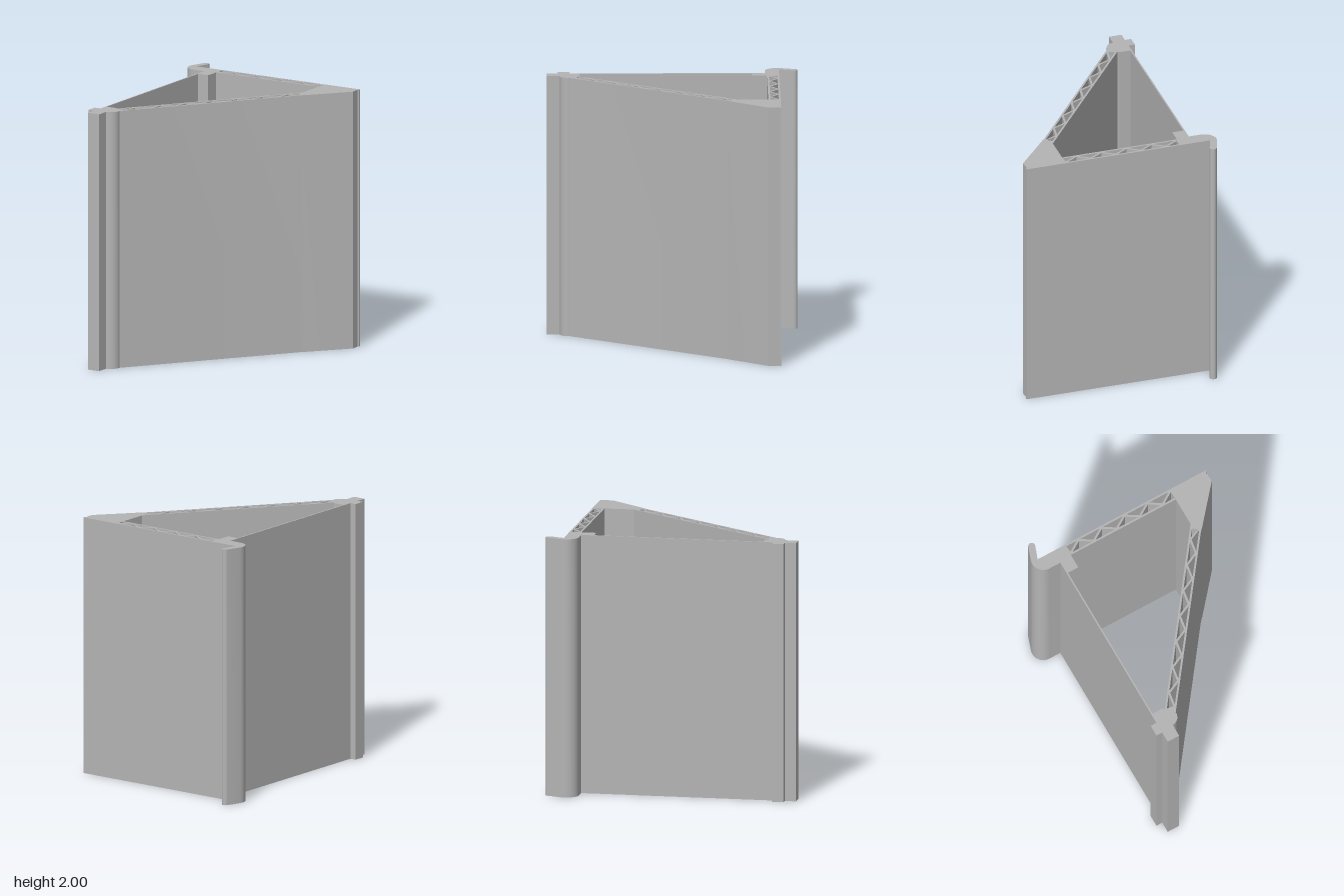
import * as THREE from 'three';
import { toCreasedNormals } from 'three/addons/utils/BufferGeometryUtils.js';

const HEIGHT = 2;
const STRUT = 0.016;

// Plan points are [x, z]; the shape is drawn with y = -z and later laid flat.
const line = (path, points) => points.forEach(([x, z]) => path.lineTo(x, -z));
const hole = (points) => new THREE.Path(points.map(([x, z]) => new THREE.Vector2(x, -z)));

// Triangular openings of a zigzag truss. dir runs along the band, normal across it.
function trussHoles({ dir, normal, start, step, count, rails, ends }) {
  const rise = Math.abs(rails[1] - rails[0]);
  const slant = Math.hypot(rise, step);
  const alongInset = (STRUT / 2) * slant / rise;
  const apexInset = (STRUT / 2) * slant / step;
  const at = (s, v) => {
    const c = THREE.MathUtils.clamp(s, ends[0], ends[1]);
    return [dir[0] * c + normal[0] * v, dir[1] * c + normal[1] * v];
  };
  const holes = [];
  for (let i = 0; i < count - 2; i++) {
    const base = rails[i % 2];
    const far = rails[(i + 1) % 2];
    const s = start + i * step;
    holes.push(hole([
      at(s + alongInset, base),
      at(s + 2 * step - alongInset, base),
      at(s + step, far + Math.sign(base - far) * apexInset),
    ]));
  }
  return holes;
}

function createProfile() {
  const tilt = 0.307;
  const profile = new THREE.Shape();

  // Rounded hook heel
  profile.absarc(-0.665, 0.8, 0.095, Math.PI - tilt, Math.PI * 1.5, false);
  // Thin side wall and stepped foot block
  line(profile, [
    [-0.57, -0.705], [-0.57, 0.78], [-0.62, 0.78], [-0.62, 0.87],
    [-0.57, 0.87], [-0.57, 0.955], [-0.47, 0.955], [-0.47, 0.855],
  ]);
  // Rounded shoulder of the foot
  profile.absarc(-0.47, -0.785, 0.07, -Math.PI / 2, 0.1, false);
  // Sloping outer face, solid corner and back face
  line(profile, [
    [0.485, -0.402], [0.51, -0.427], [0.757, -0.717], [0.75, -0.79],
    [0.76, -0.8], [0.76, -0.813], [-0.706, -0.813],
  ]);
  // Rounded hook tip
  profile.absarc(-0.693, 0.928, 0.027, -tilt, Math.PI - tilt, false);
  profile.closePath();

  // Central cavity
  profile.holes.push(hole([
    [-0.559, -0.605], [-0.47, -0.605], [-0.47, -0.72], [0.445, -0.72],
    [0.445, -0.492], [-0.462, 0.718], [-0.47, 0.702], [-0.559, 0.702],
  ]));
  // Openings in the back band
  profile.holes.push(...trussHoles({
    dir: [1, 0], normal: [0, 1], start: -0.56, step: 0.1, count: 12,
    rails: [-0.798, -0.735], ends: [-0.465, 0.445],
  }));
  // Openings in the diagonal band
  profile.holes.push(...trussHoles({
    dir: [0.6, -0.8], normal: [0.8, 0.6], start: -0.92, step: 0.104, count: 17,
    rails: [0.076, 0.132], ends: [-0.84, 0.625],
  }));
  return profile;
}

export function createModel() {
  const grey = new THREE.MeshStandardMaterial({ color: 0xb4b4b4 });
  grey.name = 'grey';

  const extrusion = new THREE.ExtrudeGeometry(createProfile(), {
    depth: HEIGHT, bevelEnabled: false, curveSegments: 16,
  });
  extrusion.rotateX(-Math.PI / 2);

  const mesh = new THREE.Mesh(toCreasedNormals(extrusion, 0.4), grey);
  mesh.name = 'trussedProfile';

  const model = new THREE.Group();
  model.name = 'extrudedBracket';
  model.add(mesh);
  return model;
}
